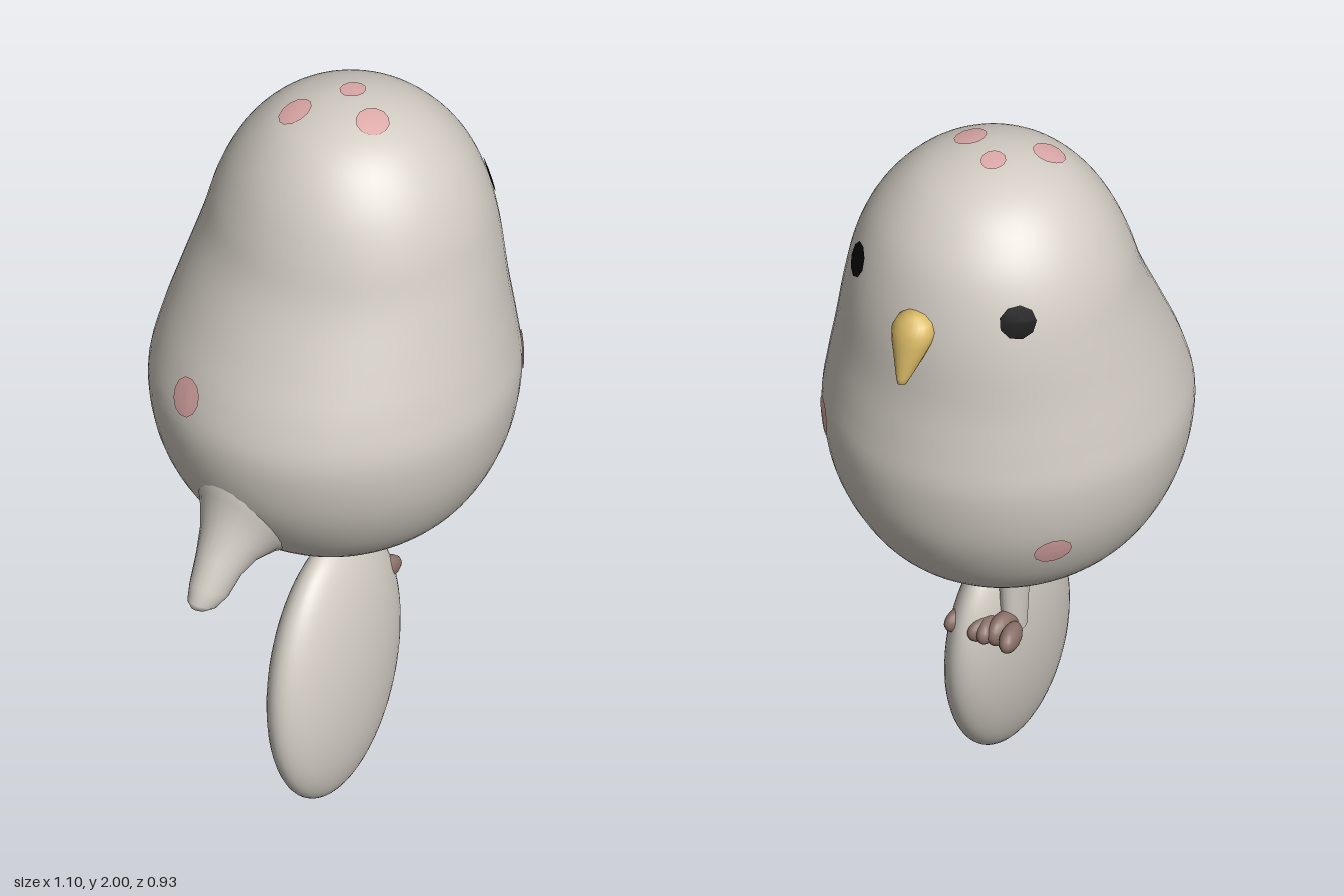
import * as THREE from 'three';
import { mergeVertices } from 'three/addons/utils/BufferGeometryUtils.js';

const V = (x, y, z) => new THREE.Vector3(x, y, z);
const mat = (name, color, opts = {}) => {
  const m = new THREE.MeshStandardMaterial({ color, ...opts });
  m.name = name;
  return m;
};

// Skin a row of elliptical rings: centre c, half axes a and b
function loft(rings, n) {
  const pos = [], idx = [];
  for (const { c, a, b } of rings)
    for (let i = 0; i < n; i++) {
      const t = (i / n) * Math.PI * 2;
      const p = c.clone().addScaledVector(a, Math.cos(t)).addScaledVector(b, Math.sin(t));
      pos.push(p.x, p.y, p.z);
    }
  for (let r = 0; r < rings.length - 1; r++)
    for (let i = 0; i < n; i++) {
      const j = (i + 1) % n, p = r * n, q = p + n;
      idx.push(p + i, q + i, p + j, p + j, q + i, q + j);
    }
  let g = new THREE.BufferGeometry();
  g.setAttribute('position', new THREE.Float32BufferAttribute(pos, 3));
  g.setIndex(idx);
  g = mergeVertices(g, 1e-5);
  g.computeVertexNormals();
  return g;
}

export function createModel() {
  const group = new THREE.Group();
  const plumage = mat('plumage', 0xd2ccc3);
  const gold = mat('beakGold', 0xdaba66);
  const black = mat('eyeBlack', 0x080808, { side: THREE.DoubleSide });
  const pink = mat('spotPink', 0xdfaaaa, { side: THREE.DoubleSide });
  const brown = mat('footBrown', 0x8a7068);
  const add = (name, geo, m) => {
    const mesh = new THREE.Mesh(geo, m);
    mesh.name = name;
    group.add(mesh);
    return mesh;
  };

  // Body and head: y, centre x, half width x, half width z
  const rows = [
    [0.71, 0.05, 0, 0], [0.72, 0.05, 0.10, 0.095], [0.76, 0.05, 0.215, 0.205],
    [0.83, 0.05, 0.325, 0.31], [0.92, 0.047, 0.40, 0.385], [1.05, 0.045, 0.462, 0.442],
    [1.2, 0.045, 0.485, 0.465], [1.32, 0.055, 0.463, 0.448], [1.45, 0.077, 0.422, 0.418],
    [1.6, 0.108, 0.378, 0.382], [1.72, 0.116, 0.344, 0.352], [1.82, 0.118, 0.302, 0.307],
    [1.9, 0.115, 0.243, 0.246], [1.955, 0.112, 0.175, 0.176], [1.99, 0.11, 0.085, 0.085],
    [2.0, 0.11, 0, 0],
  ];
  const sizes = new THREE.CatmullRomCurve3(rows.map(r => V(r[2], r[0], r[3])), false, 'catmullrom');
  const axis = new THREE.CatmullRomCurve3(rows.map(r => V(r[1], r[0], 0)), false, 'catmullrom');
  const bodyRings = [];
  for (let i = 0; i <= 60; i++) {
    const s = sizes.getPoint(i / 60);
    bodyRings.push({ c: axis.getPoint(i / 60), a: V(s.x, 0, 0), b: V(0, 0, s.z) });
  }
  const body = add('body', loft(bodyRings, 64), plumage);

  // Tail, root to tip: upper x, y, lower x, y, half width
  const tail = [
    [-0.36, 1.28, -0.08, 0.78, 0.19], [-0.425, 1.13, -0.21, 0.80, 0.15],
    [-0.43, 1.06, -0.29, 0.825, 0.11], [-0.45, 0.98, -0.35, 0.832, 0.082],
    [-0.49, 0.91, -0.395, 0.815, 0.062], [-0.53, 0.84, -0.435, 0.775, 0.05],
    [-0.55, 0.80, -0.475, 0.76, 0.036], [-0.545, 0.78, -0.50, 0.763, 0.02],
    [-0.525, 0.768, -0.525, 0.768, 0],
  ].map(([ux, uy, lx, ly, w]) => ({
    c: V((ux + lx) / 2, (uy + ly) / 2, 0), a: V((ux - lx) / 2, (uy - ly) / 2, 0), b: V(0, 0, w),
  }));
  add('tail', loft(tail, 24), plumage);

  // Beak, bottom to top: y, inner x, outer x, half width
  const beak = [
    [1.53, 0.535, 0.535, 0], [1.533, 0.52, 0.545, 0.012], [1.55, 0.50, 0.546, 0.019],
    [1.6, 0.46, 0.541, 0.038], [1.64, 0.44, 0.535, 0.053], [1.67, 0.43, 0.528, 0.058],
    [1.695, 0.43, 0.515, 0.047], [1.71, 0.44, 0.498, 0.025], [1.715, 0.475, 0.475, 0],
  ].map(([y, i, o, w]) => ({ c: V((i + o) / 2, y, 0), a: V((o - i) / 2, 0, 0), b: V(0, 0, w) }));
  add('beak', loft(beak, 24), gold);

  // Thin patches laid on the body surface
  body.updateMatrixWorld();
  const ray = new THREE.Raycaster();
  function patch(name, at, normal, ru, rv, m, sides) {
    const n = normal.clone().normalize();
    const q = new THREE.Quaternion().setFromRotationMatrix(
      new THREE.Matrix4().lookAt(n, V(0, 0, 0), Math.abs(n.y) > 0.9 ? V(1, 0, 0) : V(0, 1, 0)));
    const g = new THREE.RingGeometry(0.0005, 1, sides, 4);
    const p = g.attributes.position;
    for (let i = 0; i < p.count; i++) {
      const start = V(p.getX(i) * ru, p.getY(i) * rv, 0).applyQuaternion(q).add(at).addScaledVector(n, 0.5);
      ray.set(start, n.clone().negate());
      const hit = ray.intersectObject(body)[0];
      const e = (hit ? hit.point : start.addScaledVector(n, -0.5)).addScaledVector(n, 0.004);
      p.setXYZ(i, e.x, e.y, e.z);
    }
    g.computeVertexNormals();
    add(name, g, m);
  }
  for (const s of [1, -1])
    patch(s > 0 ? 'leftEye' : 'rightEye', V(0.375, 1.72, 0.25 * s), V(1, 0.3, s), 0.048, 0.046, black, 9);
  patch('chestSpot', V(0.38, 1.2, 0.335), V(1, 0, 1), 0.052, 0.05, pink, 12);
  patch('bellySpot', V(0.34, 1.02, -0.33), V(1, -0.45, -1), 0.05, 0.045, pink, 12);
  patch('backSpot', V(-0.4, 1.3, -0.14), V(-1, 0.2, -0.38), 0.05, 0.052, pink, 12);
  for (const [x, z, r] of [[0.012, -0.102, 0.045], [0.145, -0.02, 0.036], [0.08, 0.092, 0.046]])
    patch('crownSpot', V(x, 1.98, z), V(0, 1, 0), r * 0.9, r, pink, 12);

  // Flat oval wing hanging beneath the body, tilted by a shear
  const wing = new THREE.SphereGeometry(1, 48, 32);
  wing.applyMatrix4(new THREE.Matrix4().set(
    0.267, 0, 0, -0.058,
    0.07, 0.346, 0, 0.357,
    -0.0187, -0.0266, 0.103, 0.073,
    0, 0, 0, 1));
  add('wing', wing, plumage);

  // Legs and three-toed feet
  for (const s of [1, -1]) {
    const side = s > 0 ? 'left' : 'right';
    const leg = add(side + 'Leg', new THREE.CylinderGeometry(0.058, 0.042, 0.26, 20), plumage);
    leg.scale.z = 0.65;
    leg.position.set(0.065, 0.63, 0.032 * s);
    for (const k of [-1, 0, 1]) {
      const toe = add(side + 'Toe', new THREE.SphereGeometry(1, 16, 12), brown);
      toe.scale.set(k ? 0.055 : 0.06, k ? 0.034 : 0.043, k ? 0.026 : 0.03);
      toe.position.set(k ? 0.148 : 0.125, 0.528, 0.035 * s + 0.04 * k);
      toe.rotation.y = -0.25 * k;
    }
  }
  return group;
}
